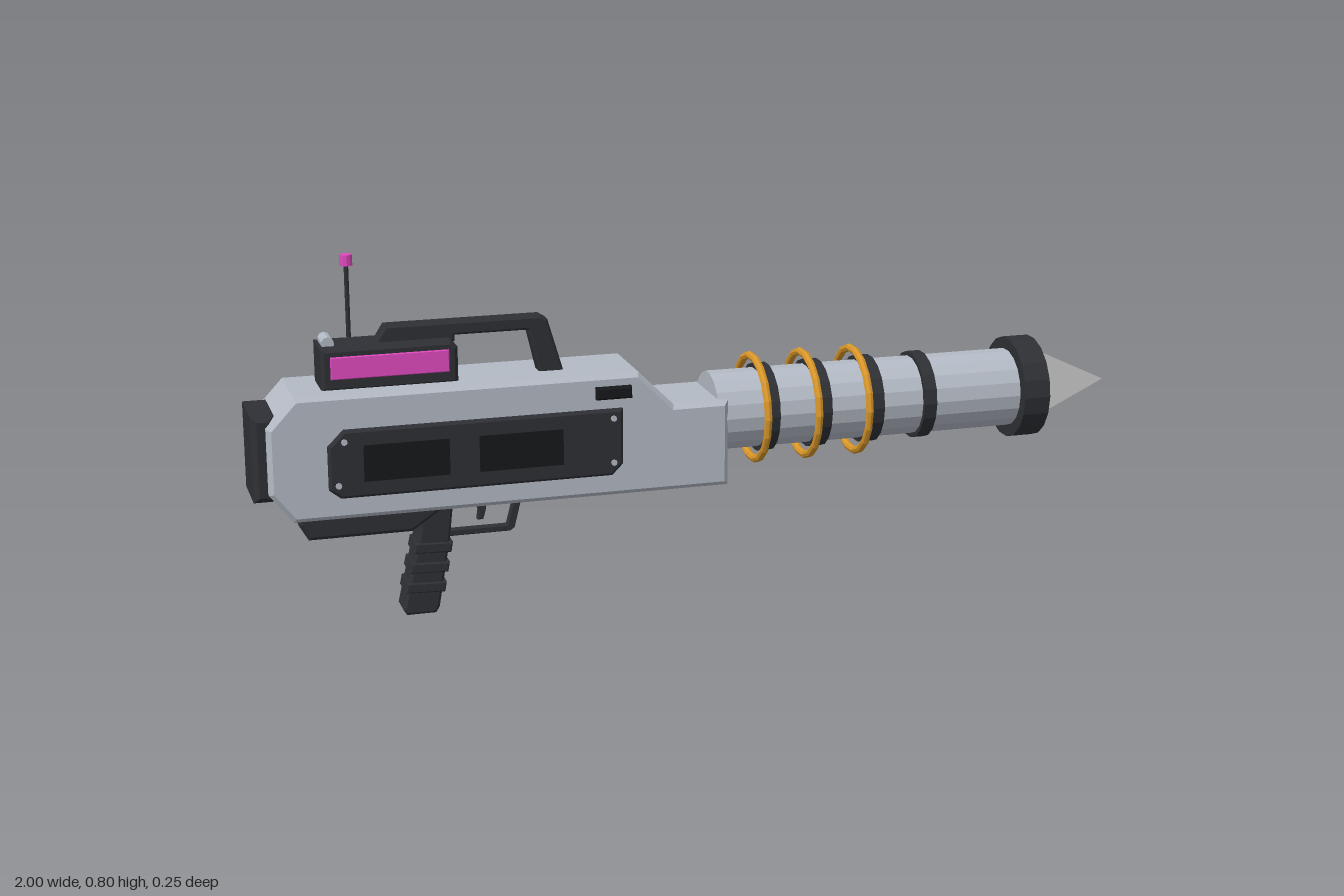
import * as THREE from 'three';

const paint = (color) => new THREE.MeshStandardMaterial({ color, flatShading: true });

export function createModel() {
  const root = new THREE.Group();
  const shell = paint(0xb4bac5), dark = paint(0x2e3035), black = paint(0x17181a);
  const pink = paint(0xe04abf), gold = paint(0xd8962a), grey = paint(0xcccccc);
  const AXIS = 0.405; // height of the barrel axis

  const add = (name, geometry, material) => {
    const mesh = new THREE.Mesh(geometry, material);
    mesh.name = name;
    root.add(mesh);
    return mesh;
  };

  // Side outline extruded across z from z0 to z1, with bevelled rims inside the outline
  const slab = (name, points, z0, z1, bevel, material) => {
    const shape = new THREE.Shape(points.map(([x, y]) => new THREE.Vector2(x, y)));
    const geometry = new THREE.ExtrudeGeometry(shape, {
      depth: z1 - z0 - 2 * bevel, bevelEnabled: bevel > 0, bevelSize: bevel,
      bevelThickness: bevel, bevelOffset: -bevel, bevelSegments: 1,
    });
    geometry.translate(0, 0, z0 + bevel);
    return add(name, geometry, material);
  };
  const rect = (x0, x1, y0, y1) => [[x0, y0], [x1, y0], [x1, y1], [x0, y1]];

  // Cylinder lying along the barrel axis
  const tube = (name, x0, x1, radius, material) => {
    const geometry = new THREE.CylinderGeometry(radius, radius, x1 - x0, 18);
    geometry.rotateZ(-Math.PI / 2).translate((x0 + x1) / 2, AXIS, 0);
    return add(name, geometry, material);
  };

  // Body and rear cap
  slab('body', [[-0.92, 0.256], [0.045, 0.256], [0.045, 0.45], [-0.08, 0.45], [-0.16, 0.53],
    [-0.91, 0.53], [-0.97, 0.465], [-0.97, 0.32]], -0.097, 0.097, 0.01, shell);
  slab('rearCap', rect(-1, -0.95, 0.3, 0.49), -0.077, 0.077, 0.012, dark);

  // Side panels, mirrored, with recess plates, screws and slots
  for (const side of [1, -1]) {
    const onSide = (name, points, inner, outer, bevel, material) =>
      slab(name, points, side > 0 ? inner : -outer, side > 0 ? outer : -inner, bevel, material);
    onSide('sidePanel', [[-0.82, 0.305], [-0.225, 0.305], [-0.2, 0.33], [-0.2, 0.455],
      [-0.81, 0.455], [-0.845, 0.42], [-0.845, 0.325]], 0.085, 0.108, 0.006, dark);
    for (const x of [-0.77, -0.52])
      onSide('panelPlate', rect(x, x + 0.185, 0.34, 0.42), 0.1, 0.1095, 0, black);
    for (const [x, y] of [[-0.825, 0.335], [-0.81, 0.43], [-0.222, 0.335], [-0.222, 0.435]]) {
      const screw = new THREE.CylinderGeometry(0.007, 0.007, 0.006, 8);
      screw.rotateX(Math.PI / 2).translate(x, y, side * 0.108);
      add('screw', screw, grey).material = shell;
    }
    onSide('sideSlot', rect(-0.26, -0.18, 0.478, 0.505), 0.09, 0.112, 0.004, black);
    onSide('pinkDisplay', rect(-0.825, -0.57, 0.553, 0.602), 0.045, 0.057, 0.002, pink);
  }
  slab('longSlot', rect(-0.545, -0.3, 0.465, 0.51), -0.103, -0.09, 0.002, black);

  // Barrel, bands and rings
  tube('barrel', 0.025, 0.76, 0.09, shell);
  for (const [x0, x1] of [[0.135, 0.165], [0.255, 0.288], [0.38, 0.413], [0.51, 0.54]])
    tube('barrelBand', x0, x1, 0.1, dark);
  for (const x of [0.13, 0.25, 0.37]) {
    const ring = new THREE.TorusGeometry(0.118, 0.009, 8, 18);
    ring.rotateY(Math.PI / 2).translate(x, AXIS, 0);
    add('goldRing', ring, gold);
  }

  // Muzzle with glowing disc and thin pointed blade
  tube('muzzle', 0.75, 0.812, 0.117, dark);
  tube('muzzleDisc', 0.8, 0.814, 0.055, pink);
  const blade = new THREE.Shape([[0.81, 0.315], [1, AXIS], [0.81, 0.495]]
    .map(([x, y]) => new THREE.Vector2(x, y)));
  add('muzzleBlade', new THREE.ShapeGeometry(blade), grey.clone()).material.side = THREE.DoubleSide;

  // Top box, knob and carrying handle
  slab('topBox', [[-0.845, 0.525], [-0.55, 0.525], [-0.55, 0.605], [-0.565, 0.62], [-0.845, 0.62]],
    -0.053, 0.053, 0.008, dark);
  const knob = new THREE.CylinderGeometry(0.014, 0.014, 0.054, 10);
  knob.rotateX(Math.PI / 2).translate(-0.825, 0.626, 0);
  add('knob', knob, shell);
  slab('carryHandle', [[-0.728, 0.61], [-0.55, 0.61], [-0.55, 0.624], [-0.388, 0.624],
    [-0.365, 0.525], [-0.31, 0.525], [-0.345, 0.645], [-0.36, 0.654], [-0.7, 0.654]],
  -0.021, 0.021, 0.005, dark);

  // Antenna
  const pole = new THREE.CylinderGeometry(0.005, 0.005, 0.25, 8);
  add('antennaPole', pole.translate(-0.767, 0.655, -0.057), dark);
  const tip = new THREE.CylinderGeometry(0.014, 0.014, 0.024, 10);
  add('antennaTip', tip.translate(-0.767, 0.787, -0.057), pink);

  // Grip with its mount and ridges
  slab('gripMount', [[-0.905, 0.262], [-0.905, 0.235], [-0.885, 0.2], [-0.66, 0.2],
    [-0.6, 0.24], [-0.565, 0.262]], -0.053, 0.053, 0.008, dark);
  slab('grip', [[-0.645, 0.25], [-0.64, 0.2], [-0.683, 0.015], [-0.675, 0.002], [-0.61, 0.002],
    [-0.602, 0.015], [-0.575, 0.17], [-0.565, 0.26]], -0.035, 0.035, 0.006, dark);
  for (const y of [0.155, 0.11, 0.065]) {
    const left = -0.686 + (y - 0.015) * 0.23, right = -0.603 + (y - 0.015) * 0.18;
    slab('gripRidge', [[left - 0.003, y - 0.011], [right + 0.004, y - 0.014],
      [right + 0.008, y + 0.009], [left + 0.002, y + 0.012]], -0.039, 0.039, 0.003, dark);
  }

  // Trigger and guard
  slab('trigger', [[-0.515, 0.262], [-0.505, 0.22], [-0.508, 0.2], [-0.495, 0.2],
    [-0.488, 0.225], [-0.488, 0.262]], -0.009, 0.009, 0.002, dark);
  slab('triggerGuard', [[-0.585, 0.168], [-0.435, 0.168], [-0.425, 0.175], [-0.403, 0.262],
    [-0.42, 0.262], [-0.441, 0.182], [-0.585, 0.182]], -0.01, 0.01, 0.002, dark);

  return root;
}
